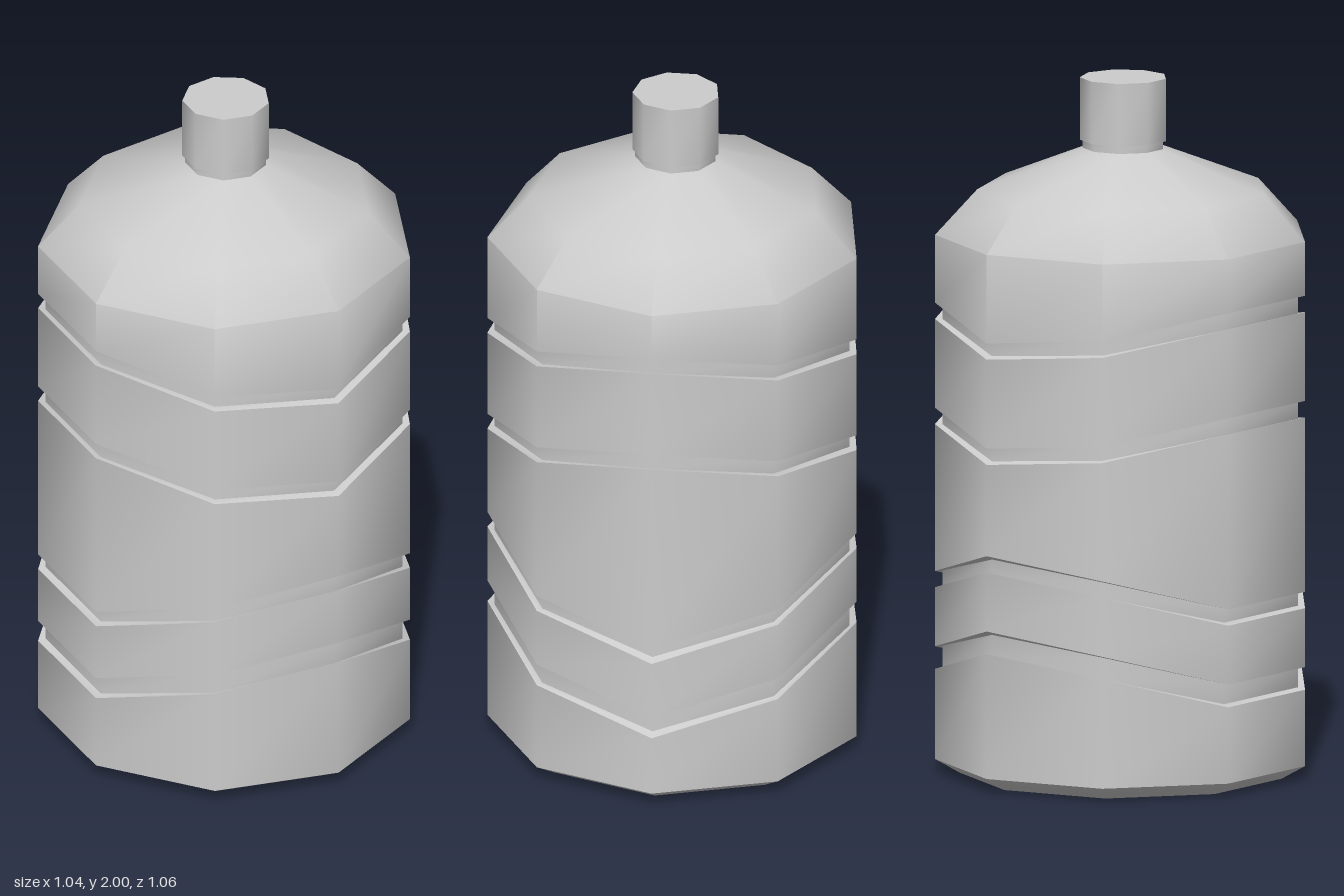
import * as THREE from 'three';
import { toCreasedNormals } from 'three/addons/utils/BufferGeometryUtils.js';

const SIDES = 9;
const CENTRE_X = -0.017;
const R = 0.537;        // body radius
const R_GROOVE = 0.516; // groove floor radius

// Height offsets of the zigzag grooves at 0, 40, 80, 120 and 160 degrees (mirrored in z)
const UPPER = [0.12, 0.06, 0, 0.033, 0.1];
const LOWER = [-0.185, -0.1, 0, -0.045, -0.14];
const FLAT = [0, 0, 0, 0, 0];

const ring = (r, y, wave = FLAT) => ({ r, y, wave });

// Joins nine-sided rings, listed from bottom to top, into one skin
function skin(rings) {
  const point = ({ r, y, wave }, i) => {
    const k = i % SIDES;
    const a = (k / SIDES) * Math.PI * 2;
    return [CENTRE_X + r * Math.cos(a), y + wave[Math.min(k, SIDES - k)], r * Math.sin(a)];
  };
  const pos = [];
  for (let j = 0; j < rings.length - 1; j++) {
    const lo = rings[j], hi = rings[j + 1];
    for (let i = 0; i < SIDES; i++) {
      const a = point(lo, i), b = point(lo, i + 1), c = point(hi, i), d = point(hi, i + 1);
      if (lo.r > 0) pos.push(...a, ...c, ...b);
      if (hi.r > 0) pos.push(...b, ...c, ...d);
    }
  }
  const geo = new THREE.BufferGeometry();
  geo.setAttribute('position', new THREE.Float32BufferAttribute(pos, 3));
  return toCreasedNormals(geo, 0.85);
}

// Four rings of one groove; the floor's zigzag is slightly shallower than the rim's
function groove(bottom, top, wave) {
  const mid = (Math.max(...wave) + Math.min(...wave)) / 2;
  const inner = wave.map((w) => mid + (w - mid) * 0.87);
  return [
    ring(R, bottom, wave), ring(R_GROOVE, bottom, inner),
    ring(R_GROOVE, top, inner), ring(R, top, wave),
  ];
}

export function createModel() {
  const model = new THREE.Group();
  model.name = 'bottle';
  const material = new THREE.MeshStandardMaterial({ color: 0xcccccc });
  const add = (name, rings) => {
    const mesh = new THREE.Mesh(skin(rings), material);
    mesh.name = name;
    model.add(mesh);
  };

  // Recessed base, grooved wall, shoulder and short neck
  add('body', [
    ring(0, 0.04), ring(0.3, 0.04), ring(0.39, 0), ring(0.467, 0), ring(R, 0.04),
    ...groove(0.4, 0.465, LOWER),
    ...groove(0.635, 0.682, LOWER),
    ...groove(0.945, 0.992, UPPER),
    ...groove(1.248, 1.295, UPPER),
    ring(R, 1.55), ring(0.417, 1.68), ring(0.117, 1.797), ring(0.117, 1.83),
  ]);

  // Screw cap
  add('cap', [ring(0, 1.82), ring(0.125, 1.82), ring(0.125, 2), ring(0, 2)]);
  return model;
}
